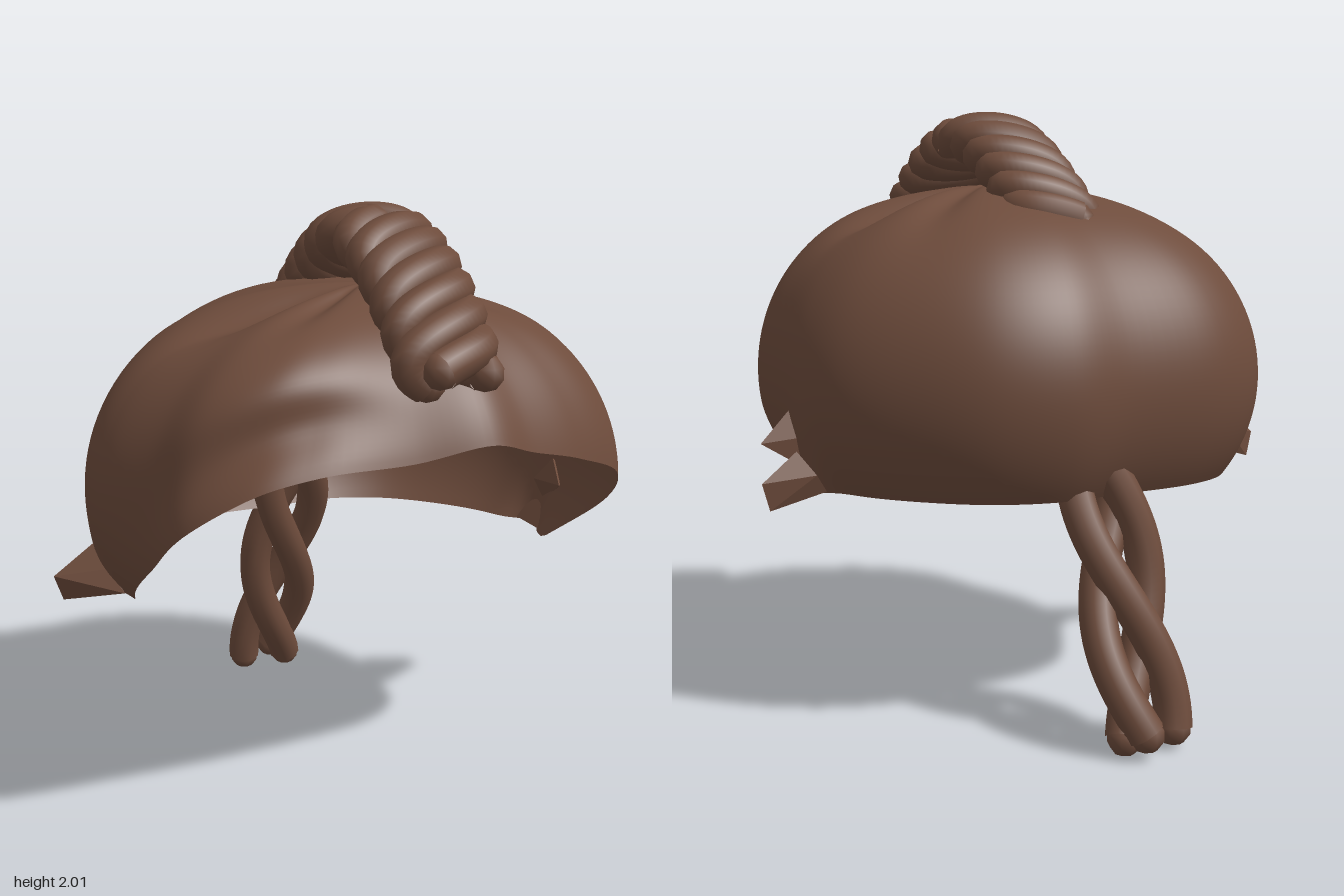
import * as THREE from 'three';
import { ConvexGeometry } from 'three/addons/geometries/ConvexGeometry.js';

const V = (x, y, z) => new THREE.Vector3(x, y, z);
const bell = (x, centre, width) => Math.exp(-(((x - centre) / width) ** 2));
const BROWN = 0x6e4c3c;

// Open cap: profiles sweep from a gathered crown down to a slanted rim
function capGeometry() {
  const outline = new THREE.CatmullRomCurve3([
    [0.85, 0], [0.84, 0.25], [0.8, 0.5], [0.7, 0.68], [0.5, 0.77], [0.3, 0.82], [0.14, 0.86],
    [-0.1, 0.83], [-0.4, 0.82], [-0.6, 0.77], [-0.75, 0.64], [-0.8, 0.43], [-0.87, 0.2], [-0.88, 0.05],
    [-0.83, -0.13], [-0.7, -0.38], [-0.55, -0.56], [-0.35, -0.64], [0, -0.65], [0.22, -0.66],
    [0.45, -0.58], [0.65, -0.41], [0.8, -0.2],
  ].map(([x, z]) => V(x, 0, z)), true);
  const N = 184, M = 40, apex = V(0.03, 1.745, 0.2), mid = 1.1, high = apex.y - mid;
  const pos = [], index = [];
  for (let j = 0; j <= M; j++) {
    const v = j / M;
    for (let i = 0; i < N; i++) {
      const o = outline.getPoint(i / N);
      const slope = Math.max(0, o.z - 0.17);
      const rimY = 0.765 + slope * 0.72 + 0.42 * slope ** 4;
      const end = Math.acos((rimY - mid) / high);
      const reach = Math.sin(Math.min(end, Math.PI / 2)) ** 0.8;
      const a = v * end, dx = o.x - apex.x, dz = o.z - apex.z;
      const ang = Math.atan2(dz, Math.abs(dx)), corner = bell(Math.atan2(dz, dx), 2.35, 0.4);
      // right front corner bulges above and is hollow near the rim; sides flare at the tufts
      const r = Math.sin(a) ** 0.8 / reach
        * (1 + corner * (0.05 * bell(v, 0.5, 0.2) - 0.08 * bell(v, 0.82, 0.13)))
        + 0.08 * bell(ang, -0.25, 0.1) * v ** 10;
      // gathered creases running out sideways from the crown
      const fold = bell(ang, 0, 0.27) + 0.4 * bell(ang, -0.7, 0.15) + 0.4 * bell(ang, 0.65, 0.15);
      const dip = 0.07 * fold * bell(v, 0.17, 0.16) * Math.min(1, v * 12);
      pos.push(apex.x + dx * r, mid + high * Math.cos(a) - dip, apex.z + dz * r);
      if (j < M) {
        const p = j * N + i, q = j * N + (i + 1) % N;
        if (j > 0) index.push(p, q, p + N);
        index.push(q, q + N, p + N);
      }
    }
  }
  const g = new THREE.BufferGeometry();
  g.setAttribute('position', new THREE.Float32BufferAttribute(pos, 3));
  g.setIndex(index);
  g.computeVertexNormals();
  return g;
}

// One strand winding around a path that lies in a plane of constant x
class Strand extends THREE.Curve {
  constructor(path, angle, wide, deep) {
    super();
    Object.assign(this, { path, angle, wide, deep });
  }
  getPoint(t) {
    const p = this.path.getPointAt(t), tan = this.path.getTangentAt(t), a = this.angle(t);
    const n = tan.cross(V(1, 0, 0));
    return p.addScaledVector(n, Math.sin(a) * this.deep).add(V(Math.cos(a) * this.wide, 0, 0));
  }
}

function rope(name, path, { angle, wide, deep, radius, segments }, material) {
  const group = new THREE.Group();
  group.name = name;
  for (let k = 0; k < 3; k++) {
    const curve = new Strand(path, t => angle(t) + k * Math.PI * 2 / 3, wide, deep);
    const strand = new THREE.Mesh(new THREE.TubeGeometry(curve, segments, radius, 10), material);
    strand.name = 'strand';
    group.add(strand);
    // blunt strand ends
    for (const t of [0, 1]) {
      const tip = new THREE.Mesh(new THREE.SphereGeometry(radius * 0.95, 8, 5), material);
      tip.name = 'strandEnd';
      tip.position.copy(curve.getPoint(t));
      group.add(tip);
    }
  }
  return group;
}

export function createModel() {
  const model = new THREE.Group();
  model.name = 'braidedHair';
  const hair = new THREE.MeshStandardMaterial({ color: BROWN });
  hair.name = 'brownHair';
  const shell = new THREE.MeshStandardMaterial({ color: BROWN, side: THREE.DoubleSide });
  shell.name = 'brownHairShell';

  const cap = new THREE.Mesh(capGeometry(), shell);
  cap.name = 'hairCap';
  model.add(cap);

  // Arched braid over the crown; the twist reverses at its middle
  const arch = new THREE.CatmullRomCurve3([
    V(0.03, 1.6, -0.26), V(0.03, 1.71, -0.13), V(0.03, 1.82, 0.02), V(0.03, 1.895, 0.18),
    V(0.03, 1.89, 0.34), V(0.03, 1.81, 0.52), V(0.03, 1.69, 0.67), V(0.03, 1.56, 0.785),
  ]);
  model.add(rope('topBraid', arch, {
    angle: t => Math.PI * 2 * 4.1 * Math.abs(t - 0.5) - 0.4,
    wide: 0.115, deep: 0.04, radius: 0.062, segments: 150,
  }, hair));

  // Hanging braid, running down inside the back of the cap
  const tail = new THREE.CatmullRomCurve3([
    V(0.03, 1.6, -0.26), V(0.03, 1.1, -0.42), V(0.03, 0.6, -0.59), V(0.03, 0.06, -0.785),
  ]);
  model.add(rope('tailBraid', tail, {
    angle: t => Math.PI * 2 * 1.2 * (0.83 - t),
    wide: 0.104, deep: 0.036, radius: 0.061, segments: 70,
  }, hair));

  // Pointed tufts by the ears: a broad root narrowing to an upright edge
  const tuft = (name, pts) => {
    const mesh = new THREE.Mesh(new ConvexGeometry(pts.map(p => V(...p))), hair);
    mesh.name = name;
    model.add(mesh);
  };
  tuft('rightTuft', [[-0.99, 0.81, -0.02], [-0.96, 0.72, -0.03], [-0.85, 0.92, 0],
    [-0.83, 0.84, -0.08], [-0.83, 0.84, 0.06], [-0.79, 0.77, -0.06], [-0.79, 0.77, 0.12]]);
  tuft('leftTuft', [[0.985, 0.81, -0.03], [0.96, 0.72, -0.03], [0.86, 0.9, -0.01],
    [0.82, 0.83, -0.08], [0.82, 0.83, 0.05], [0.78, 0.77, -0.06], [0.78, 0.77, 0.12]]);
  tuft('leftUpperTuft', [[0.95, 0.92, 0.07], [0.84, 1.03, 0.08], [0.82, 0.95, 0.16],
    [0.84, 0.85, 0.04], [0.8, 0.94, 0.02]]);
  return model;
}
